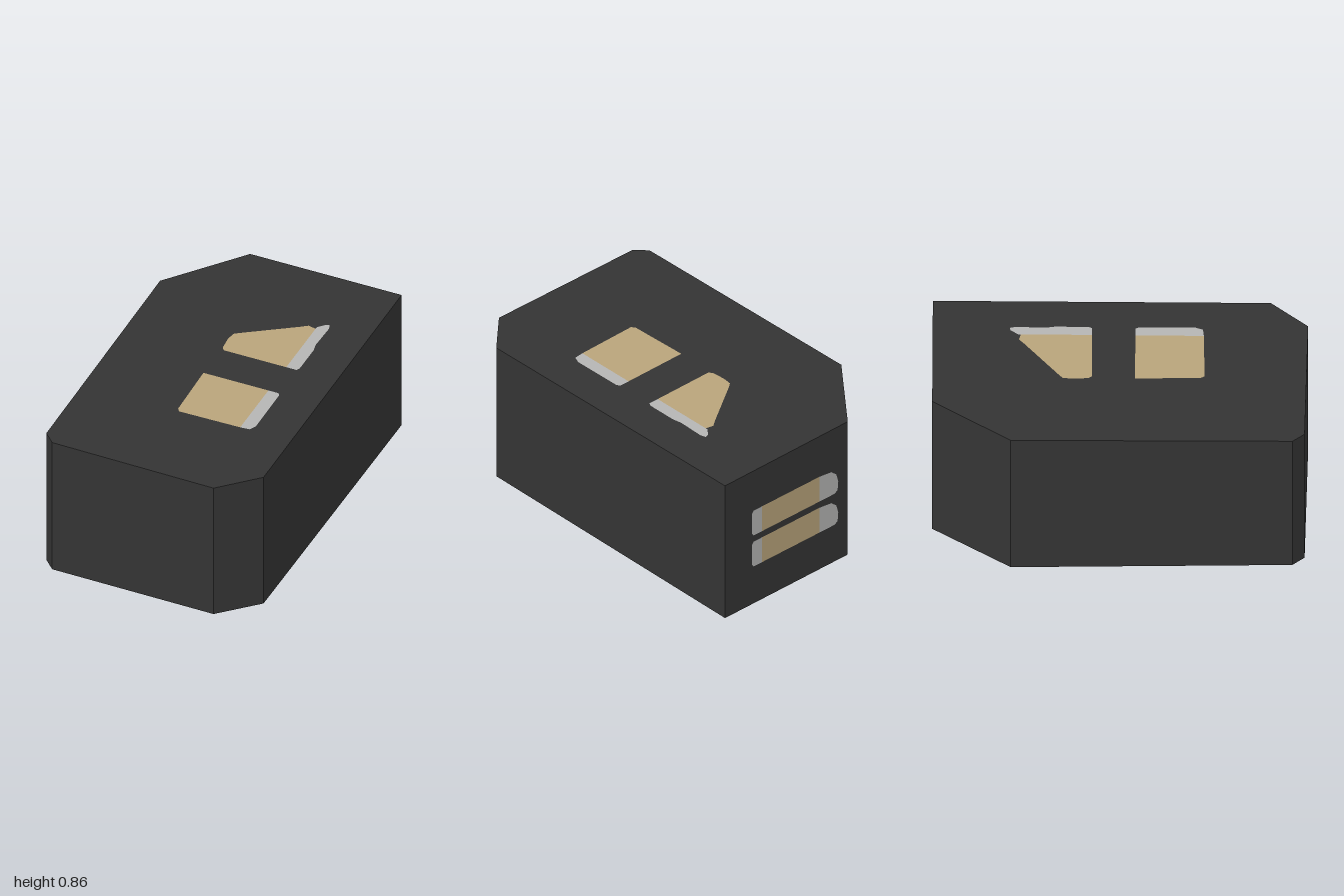
import * as THREE from 'three';

const topY = (x, z) => 0.85 - 0.008 * x - 0.008 * z;
const bottomY = (x, z) => 0.008 - 0.003 * x + 0.006 * z;
const LIFT = 0.002; // height of the pads above the casing

function shapeFrom(points) {
  return new THREE.Shape(points.map(([a, b]) => new THREE.Vector2(a, b)));
}

// Moves every vertex to the height given by a rule
function setHeights(geometry, rule) {
  const p = geometry.attributes.position;
  for (let i = 0; i < p.count; i++) p.setY(i, rule(p.getX(i), p.getZ(i), p.getY(i)));
  geometry.computeVertexNormals();
  return geometry;
}

export function createModel() {
  const casing = new THREE.MeshStandardMaterial({ color: 0x343434 });
  const gold = new THREE.MeshStandardMaterial({ color: 0xb9a47b });
  const silver = new THREE.MeshStandardMaterial({ color: 0xb5b5b4 });
  casing.name = 'charcoal casing';
  gold.name = 'gold contact';
  silver.name = 'silver edge';

  const model = new THREE.Group();
  model.name = 'block';
  function add(name, geometry, material) {
    const mesh = new THREE.Mesh(geometry, material);
    mesh.name = name;
    model.add(mesh);
  }

  // Block with three clipped corners and slightly sloping ends (outline as x, z)
  const outline = [
    [-0.28, -1], [0.605, -1], [0.612, 0.8], [0.41, 1],
    [-0.54, 0.985], [-0.603, 0.92], [-0.617, -0.58],
  ];
  const body = new THREE.ExtrudeGeometry(shapeFrom(outline.map(([x, z]) => [x, -z])), {
    depth: 1, bevelEnabled: false,
  });
  body.rotateX(-Math.PI / 2);
  add('casing', setHeights(body, (x, z, y) => (y > 0.5 ? topY(x, z) : bottomY(x, z))), casing);

  // Contacts on the top and bottom, as x, z outlines
  const pads = [
    ['slantedPad', gold, [
      [-0.05, -0.15], [0.315, -0.15], [0.315, -0.53], [0.27, -0.54],
      [0.23, -0.51], [-0.04, -0.325], [-0.065, -0.305], [-0.072, -0.25], [-0.065, -0.17],
    ]],
    ['slantedPadEdge', silver, [
      [0.315, -0.15], [0.375, -0.15], [0.385, -0.17], [0.385, -0.35], [0.375, -0.4],
      [0.38, -0.56], [0.37, -0.59], [0.35, -0.585], [0.315, -0.545],
    ]],
    ['squarePad', gold, [
      [-0.065, 0.08], [0.315, 0.08], [0.315, 0.445], [-0.04, 0.45], [-0.055, 0.43],
    ]],
    ['squarePadEdge', silver, [
      [0.315, 0.08], [0.375, 0.08], [0.385, 0.1], [0.387, 0.4], [0.37, 0.44], [0.315, 0.445],
    ]],
  ];
  for (const [name, material, points] of pads) {
    const upper = new THREE.ShapeGeometry(shapeFrom(points.map(([x, z]) => [x, -z])));
    upper.rotateX(-Math.PI / 2);
    add('top_' + name, setHeights(upper, (x, z) => topY(x, z) + LIFT), material);

    const lower = new THREE.ShapeGeometry(shapeFrom(points.map(([x, z]) => [x - 0.025, z])));
    lower.rotateX(Math.PI / 2);
    add('bottom_' + name, setHeights(lower, (x, z) => bottomY(x, z) - LIFT), material);
  }

  // Pair of long contacts on the back, as seen from behind (u = -x)
  const bars = [
    ['bar', gold, [[-0.34, 0], [0.075, 0], [0.075, 0.16], [-0.34, 0.16]]],
    ['barInnerEdge', silver, [
      [-0.4, 0], [-0.34, 0], [-0.34, 0.16], [-0.4, 0.16], [-0.412, 0.145], [-0.412, 0.015],
    ]],
    ['barRoundEdge', silver, [
      [0.075, 0], [0.185, 0], [0.205, 0.015], [0.21, 0.07], [0.195, 0.12], [0.16, 0.15], [0.075, 0.16],
    ]],
  ];
  for (const base of [0.24, 0.44]) {
    for (const [name, material, points] of bars) {
      const geometry = new THREE.ShapeGeometry(shapeFrom(points));
      geometry.rotateY(Math.PI);
      geometry.translate(0, base, -1 - LIFT);
      add((base > 0.3 ? 'upper_' : 'lower_') + name, geometry, material);
    }
  }
  return model;
}
